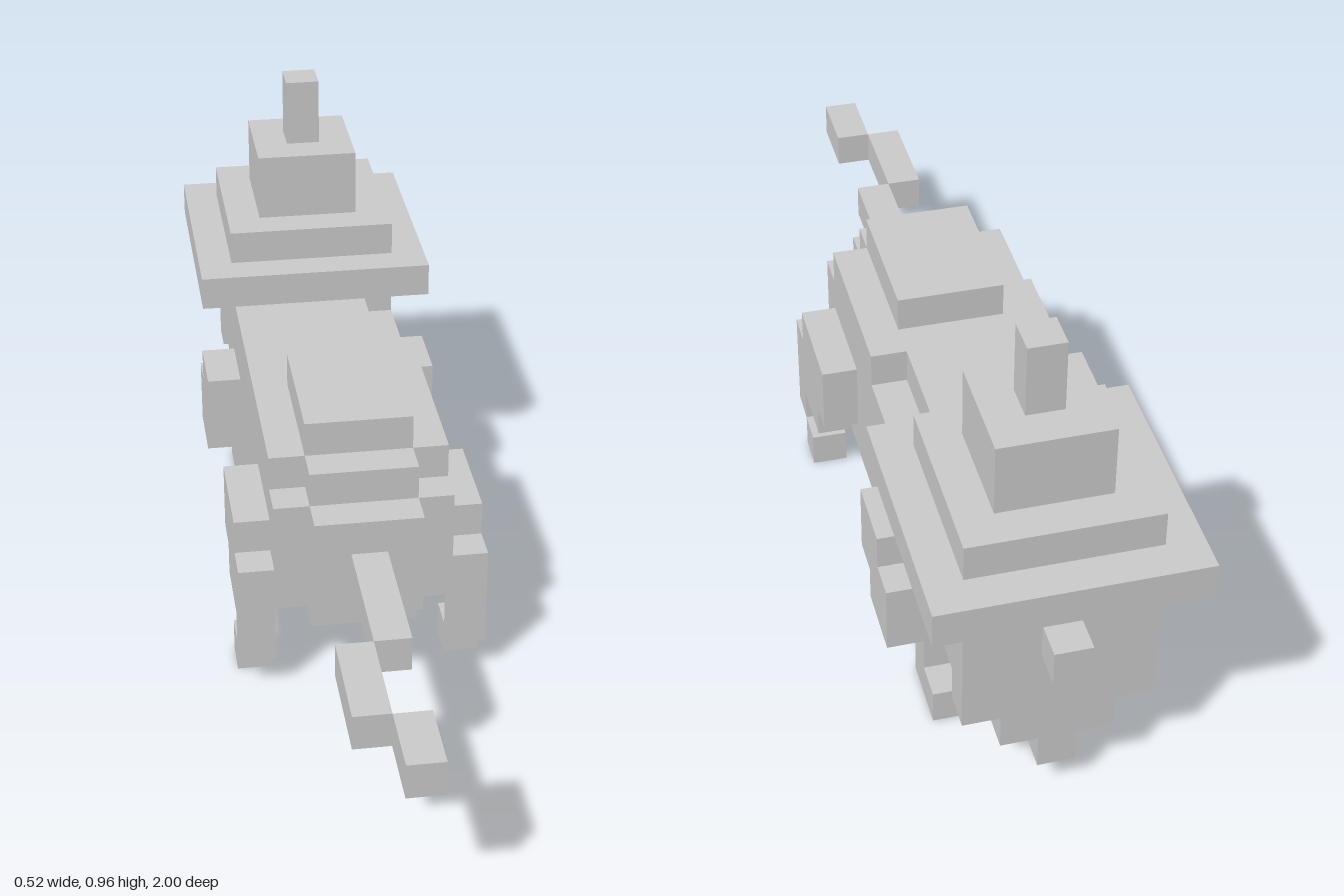
import * as THREE from 'three';

const U = 2 / 27; // one block
const material = new THREE.MeshStandardMaterial({ color: 0xcccccc, flatShading: true });

// Box between block coordinates: x 0..7, y 0..13, z 0..27
function box(parent, name, x0, x1, y0, y1, z0, z1) {
  const mesh = new THREE.Mesh(
    new THREE.BoxGeometry((x1 - x0) * U, (y1 - y0) * U, (z1 - z0) * U), material);
  mesh.position.set(((x0 + x1) / 2 - 3.5) * U, ((y0 + y1) / 2) * U, ((z0 + z1) / 2 - 13.5) * U);
  mesh.name = name;
  parent.add(mesh);
}

// Same box on both sides
function pair(parent, name, x0, x1, ...rest) {
  box(parent, name + 'Left', x0, x1, ...rest);
  box(parent, name + 'Right', 7 - x1, 7 - x0, ...rest);
}

function part(root, name) {
  const g = new THREE.Group();
  g.name = name;
  root.add(g);
  return g;
}

export function createModel() {
  const root = new THREE.Group();
  root.name = 'animalWithHat';

  // Torso with a raised hump and a stepped rump
  const body = part(root, 'body');
  box(body, 'torso', 1, 6, 2, 6, 5, 16);
  box(body, 'back', 1, 5, 6, 7, 6, 11);
  box(body, 'backRear', 1, 6, 6, 7, 11, 16);
  box(body, 'hump', 2, 5, 7, 8, 12, 16);
  box(body, 'rump', 1, 6, 3, 6, 16, 17);
  box(body, 'rumpCore', 2, 5, 2, 7, 16, 17);
  box(body, 'rumpPlate', 2, 5, 3, 6, 17, 18);

  // Head with open mouth, nose and stepped chin
  const head = part(root, 'head');
  box(head, 'skull', 1, 6, 4, 6, 1, 5);
  box(head, 'crown', 1, 6, 6, 7, 2, 6);
  box(head, 'forehead', 2, 5, 6, 7, 1, 2);
  box(head, 'upperJaw', 2, 5, 3, 4, 2, 4);
  box(head, 'throat', 1, 6, 3, 4, 4, 5);
  box(head, 'lip', 1, 6, 3, 4, 1, 2);
  box(head, 'chin', 2, 5, 2, 3, 1, 2);
  box(head, 'chinTip', 3, 4, 1, 2, 1, 2);
  box(head, 'nose', 3, 4, 5, 6, 0, 1);

  // Hat in square tiers: inset, bottom, top
  const hat = part(root, 'hat');
  [['brim', 0, 7, 8], ['band', 1, 8, 9], ['cone', 2, 9, 11], ['tip', 3, 11, 13]].forEach(
    ([name, i, y0, y1]) => box(hat, name, i, 7 - i, y0, y1, i, 7 - i));

  // Legs at the head end
  const headLegs = part(root, 'headEndLegs');
  pair(headLegs, 'shoulder', 6, 7, 3, 5, 6, 8);
  pair(headLegs, 'shoulderStep', 6, 7, 3, 4, 5, 6);
  pair(headLegs, 'upperLeg', 6, 7, 2, 3, 5, 7);
  pair(headLegs, 'lowerLeg', 5, 6, 1, 2, 5, 7);
  pair(headLegs, 'foot', 5, 6, 0, 1, 4, 6);

  // Legs at the tail end
  const tailLegs = part(root, 'tailEndLegs');
  pair(tailLegs, 'thigh', 6, 7, 3, 5, 13, 16);
  pair(tailLegs, 'knee', 6, 7, 2, 3, 14, 16);
  pair(tailLegs, 'shank', 6, 7, 1, 4, 16, 17);
  pair(tailLegs, 'foot', 6, 7, 0, 1, 15, 16);

  // Kinked tail
  const tail = part(root, 'tail');
  box(tail, 'tailBase', 3, 4, 4, 5, 18, 22);
  box(tail, 'tailMiddle', 2, 3, 4, 5, 22, 25);
  box(tail, 'tailEnd', 3, 4, 4, 5, 25, 27);

  return root;
}
